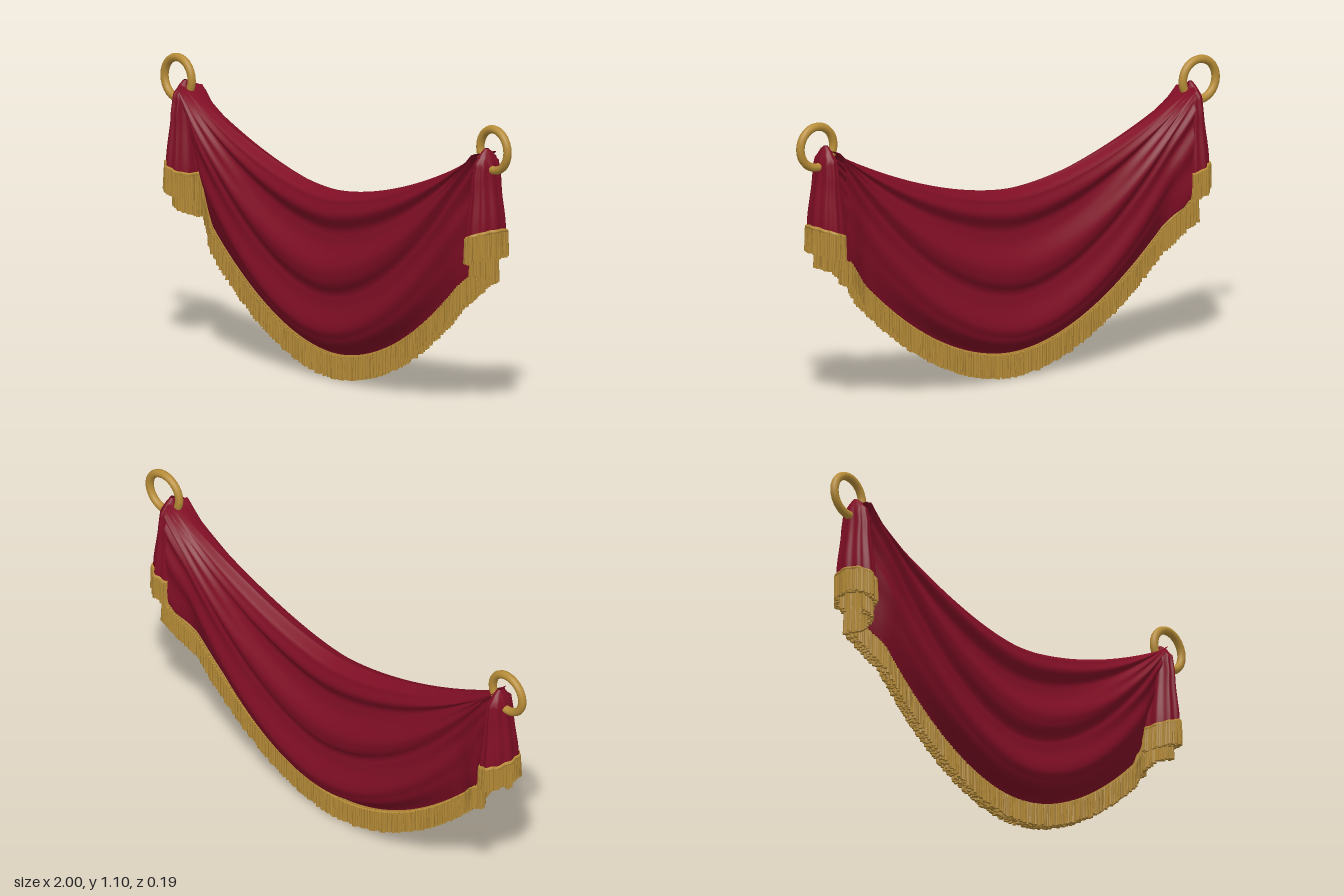
import * as THREE from 'three';
import { mergeGeometries } from 'three/addons/utils/BufferGeometryUtils.js';

const velvet = new THREE.MeshStandardMaterial({ color: 0x800e25, side: THREE.DoubleSide });
velvet.name = 'crimson velvet';
const gold = new THREE.MeshStandardMaterial({ color: 0xb88d38 });
gold.name = 'antique gold';

// small seeded generator for the uneven fringe
let seed = 7;
const rand = () => (seed = (seed * 16807) % 2147483647) / 2147483647;
const lerp = THREE.MathUtils.lerp;

// smooth interpolation through [position, value] pairs
function sample(table, t) {
  let i = 0;
  while (i < table.length - 2 && t > table[i + 1][0]) i++;
  const [a, va] = table[i], [b, vb] = table[i + 1];
  const k = THREE.MathUtils.clamp((t - a) / (b - a), 0, 1);
  return lerp(va, vb, k * k * (3 - 2 * k));
}

// rows of closed loops joined into a tube
function loft(rows, cols, point) {
  const pos = [], idx = [];
  for (let r = 0; r <= rows; r++) {
    for (let c = 0; c < cols; c++) pos.push(...point(r / rows, c / cols));
  }
  for (let r = 0; r < rows; r++) {
    for (let c = 0; c < cols; c++) {
      const d = (c + 1) % cols;
      const a = r * cols + c, b = r * cols + d, e = a + cols, f = b + cols;
      idx.push(a, b, f, a, f, e);
    }
  }
  const g = new THREE.BufferGeometry();
  g.setAttribute('position', new THREE.Float32BufferAttribute(pos, 3));
  g.setIndex(idx);
  g.computeVertexNormals();
  return g;
}

function add(parent, name, geometry, material) {
  const m = new THREE.Mesh(geometry, material);
  m.name = name;
  parent.add(m);
  return m;
}

// drape lines run from pinch to pinch; v goes from top edge to hem
const foldDepth = [[0, 0], [0.05, 0.05], [0.14, 0.066], [0.24, 0.04], [0.28, 0.045], [0.48, 0.086],
  [0.56, 0.08], [0.61, 0.055], [0.66, 0.06], [0.84, 0.085], [0.9, 0.07], [1, 0.006]];
const hemZ = (u) => lerp(-0.01, -0.065, THREE.MathUtils.smoothstep(Math.abs(u), 0.86, 1));

function drape(u, v, side) {
  const w = Math.abs(u);
  const centreY = 0.73 - 0.63 * v, endY = 1 - 0.42 * v ** 4;
  const y = centreY + (endY - centreY) * w ** (1.7 + 0.2 * v);
  // broad swags in the middle, fine radiating pleats toward the pinches
  const pleats = Math.sqrt(Math.max(0, Math.sin(Math.PI * v))) * (0.058 + 0.009 * Math.cos(v * 38));
  const depth = lerp(sample(foldDepth, v), pleats, w ** 2.5);
  return [u * (0.86 - 0.05 * v), y, side * depth + hemZ(u) * v ** 3];
}

// rows of slightly uneven strands hanging from a curve
function fringe(curve, count, rows, gap, length) {
  const strands = [];
  for (let i = 0; i < count; i++) {
    for (let r = 0; r < rows; r++) {
      const p = curve.getPointAt(Math.min(1, (i + 0.3 + 0.4 * rand()) / count));
      const h = length * (0.9 + 0.1 * rand());
      const g = new THREE.CylinderGeometry(0.006, 0.0075, h, 5);
      g.rotateY(rand() * 6);
      g.translate(0, -h / 2, 0);
      g.rotateZ((rand() - 0.5) * 0.08);
      g.rotateX((rand() - 0.5) * 0.06);
      g.translate(p.x, p.y, p.z + (r - (rows - 1) / 2) * gap);
      strands.push(g);
    }
  }
  return mergeGeometries(strands);
}

// gathered tail: height, half width and half depth
const tailWidth = [[0, 0.008], [0.1, 0.024], [0.2, 0.034], [1, 0.058]];
const tailDepth = [[0, 0.008], [0.06, 0.03], [0.16, 0.055], [0.4, 0.064], [1, 0.08]];
function tail(t, s) {
  const a = s * Math.PI * 2, c = Math.cos(a);
  const bottom = 0.71 - 0.022 * (1 - c);
  const k = 1 + 0.06 * Math.cos(a * 9) * Math.min(1, t * 4);
  return [0.864 + c * k * sample(tailWidth, t), lerp(1.017, bottom, t),
    Math.sin(a) * k * sample(tailDepth, t)];
}

export function createModel() {
  seed = 7;
  const model = new THREE.Group();
  model.name = 'drapedSwag';

  // main cloth: front face down, back face up
  const swag = loft(64, 112, (r, c) => {
    const s = c < 0.5 ? c * 2 : 2 - c * 2;
    return drape(r * 2 - 1, (1 - Math.cos(Math.PI * s)) / 2, c < 0.5 ? 1 : -1);
  });
  add(model, 'swagCloth', swag, velvet);

  // hem cord and fringe along the lower edge
  const hemPoints = [];
  for (let i = 0; i <= 32; i++) hemPoints.push(new THREE.Vector3(...drape(i / 16 - 1, 1, 0)));
  const hem = new THREE.CatmullRomCurve3(hemPoints);
  add(model, 'hemCord', new THREE.TubeGeometry(hem, 90, 0.01, 6), gold);
  add(model, 'hemFringe', fringe(hem, 185, 3, 0.016, 0.093), gold);

  for (const side of [1, -1]) {
    const end = new THREE.Group();
    end.name = side > 0 ? 'leftEnd' : 'rightEnd';
    end.scale.x = side;
    model.add(end);

    // hanging ring
    const ring = add(end, 'ring', new THREE.TorusGeometry(0.078, 0.016, 10, 28), gold);
    ring.position.set(0.906, 1.018, 0);

    // gathered tail with its own fringe
    add(end, 'tailCloth', loft(20, 72, tail), velvet);
    const rim = [];
    for (let i = 0; i < 36; i++) rim.push(new THREE.Vector3(...tail(1, i / 36)));
    const rimCurve = new THREE.CatmullRomCurve3(rim, true);
    add(end, 'tailCord', new THREE.TubeGeometry(rimCurve, 72, 0.008, 6, true), gold);
    add(end, 'tailFringe', fringe(rimCurve, 52, 2, 0.008, 0.1), gold);

    // lower curl joining the tail to the hem
    const curl = new THREE.CatmullRomCurve3([
      [0.875, 0.635, 0.045], [0.84, 0.625, 0.05], [0.812, 0.61, 0.02],
      [0.812, 0.595, -0.03], [0.84, 0.59, -0.068], [0.81, 0.575, -0.07],
    ].map((p) => new THREE.Vector3(...p)));
    add(end, 'curlFringe', fringe(curl, 24, 2, 0.008, 0.098), gold);
  }
  return model;
}
